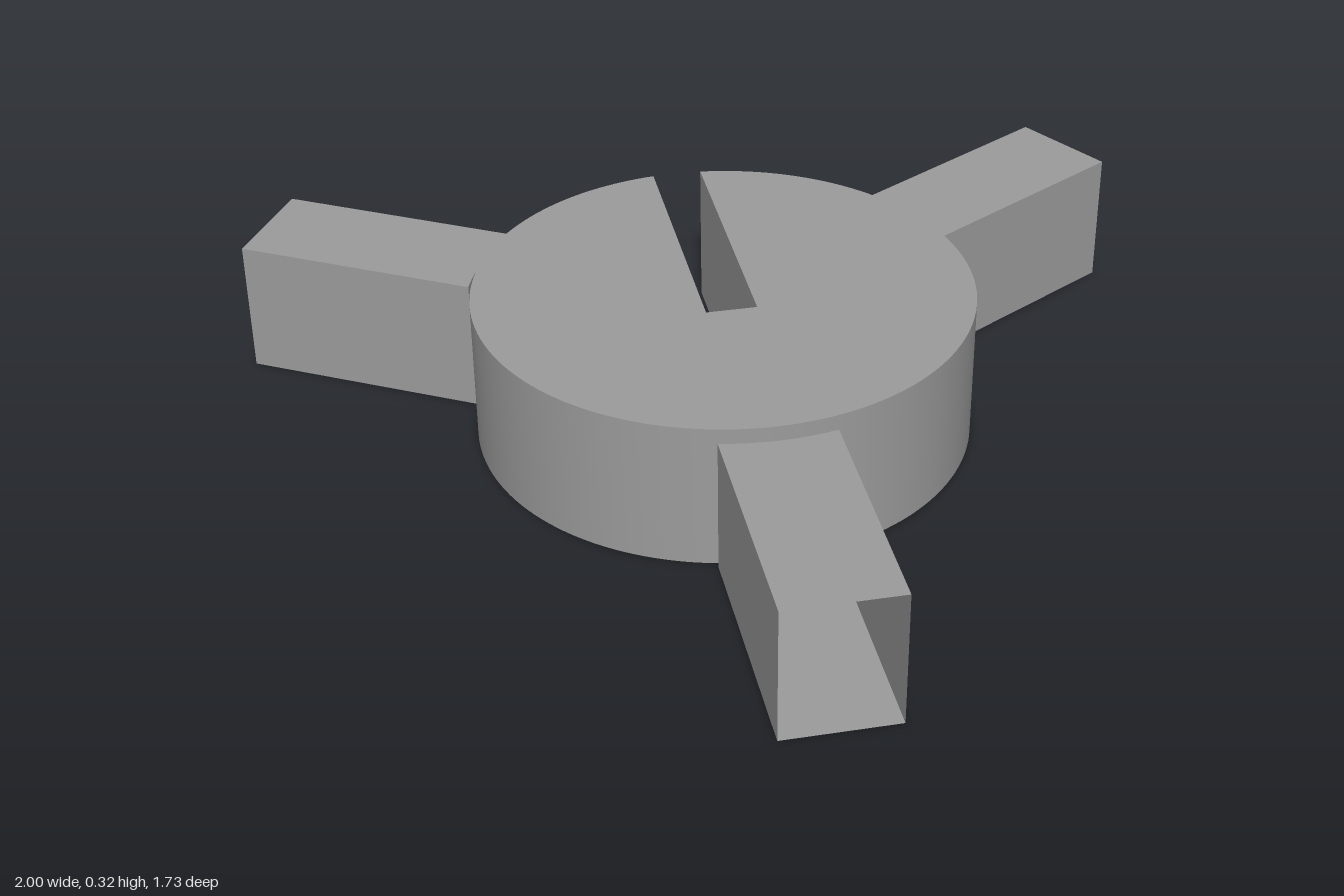
import * as THREE from 'three';
import { toCreasedNormals } from 'three/addons/utils/BufferGeometryUtils.js';

const R = 0.54, DISC_H = 0.325;                   // central disc
const ARM_W = 0.122, ARM_H = 0.3, ARM_END = 1.083; // half width, height, reach
const SEAT_R = 0.553;                             // concave inner end of an arm
const SLOT = 0.055;                               // half width of slot
const CENTRE_Z = -0.217;                          // disc axis

const solid = new THREE.MeshStandardMaterial({ color: 0x9c9c9c });
const thin = new THREE.MeshStandardMaterial({ color: 0x9c9c9c, side: THREE.DoubleSide });

function mesh(name, geometry, material) {
  const m = new THREE.Mesh(geometry, material);
  m.name = name;
  return m;
}

// Disc with a slot cut through to the back rim
function discGeometry() {
  const a = Math.acos(SLOT / R);
  const s = new THREE.Shape();
  s.moveTo(SLOT, -0.087);
  s.lineTo(SLOT, R * Math.sin(a));
  s.absarc(0, 0, R, a, Math.PI - a, true);
  s.lineTo(-SLOT, -0.087);
  s.closePath();
  const g = new THREE.ExtrudeGeometry(s, { depth: DISC_H, bevelEnabled: false, curveSegments: 72 });
  g.rotateX(-Math.PI / 2);
  return toCreasedNormals(g, 0.5);
}

// Plan of an arm: straight sides, curved inner end, pointing along +z
function armPlan() {
  const a = Math.acos(ARM_W / SEAT_R);
  const s = new THREE.Shape();
  s.moveTo(ARM_W, ARM_END);
  s.lineTo(ARM_W, SEAT_R * Math.sin(a));
  s.absarc(0, 0, SEAT_R, a, Math.PI - a, false);
  s.lineTo(-ARM_W, ARM_END);
  return s;
}

// Upright walls along the plan, leaving the outer end open
function wallGeometry(points) {
  const pos = [];
  for (let i = 0; i < points.length - 1; i++) {
    const p = points[i], q = points[i + 1];
    if (p.distanceTo(q) < 1e-6) continue;
    pos.push(p.x, 0, p.y, p.x, ARM_H, p.y, q.x, ARM_H, q.y);
    pos.push(p.x, 0, p.y, q.x, ARM_H, q.y, q.x, 0, q.y);
  }
  const g = new THREE.BufferGeometry();
  g.setAttribute('position', new THREE.Float32BufferAttribute(pos, 3));
  return toCreasedNormals(g, 0.5);
}

// Small round-shouldered tab from the disc, just through the arm's inner wall
function tabGeometry() {
  const w = 0.056, h = 0.215, r = 0.015;
  const s = new THREE.Shape();
  s.moveTo(-w, 0);
  s.lineTo(w, 0);
  s.lineTo(w, h - r);
  s.quadraticCurveTo(w, h, w - r, h);
  s.lineTo(-w + r, h);
  s.quadraticCurveTo(-w, h, -w, h - r);
  s.closePath();
  const g = new THREE.ExtrudeGeometry(s, { depth: 0.037, bevelEnabled: false, curveSegments: 4 });
  return g.translate(0, 0, 0.52);
}

function createArm(name) {
  const arm = new THREE.Group();
  arm.name = name;
  const plan = armPlan();
  const floor = new THREE.ShapeGeometry(plan, 12).rotateX(Math.PI / 2);
  // the half turn leaves the roof facing up
  const roof = floor.clone().rotateZ(Math.PI).translate(0, ARM_H, 0);
  arm.add(
    mesh('armFloor', floor, thin),
    mesh('armRoof', roof, thin),
    mesh('armWalls', wallGeometry(plan.getPoints(12)), thin),
    mesh('armTab', tabGeometry(), solid)
  );
  return arm;
}

export function createModel() {
  const model = new THREE.Group();
  model.name = 'slottedDiscWithArms';
  model.add(mesh('slottedDisc', discGeometry(), solid));
  // Three arms evenly spaced about the disc
  ['frontArm', 'backRightArm', 'backLeftArm'].forEach((name, i) => {
    const arm = createArm(name);
    arm.rotation.y = (-i * 2 * Math.PI) / 3;
    model.add(arm);
  });
  model.children.forEach((part) => { part.position.z = CENTRE_Z; });
  return model;
}
